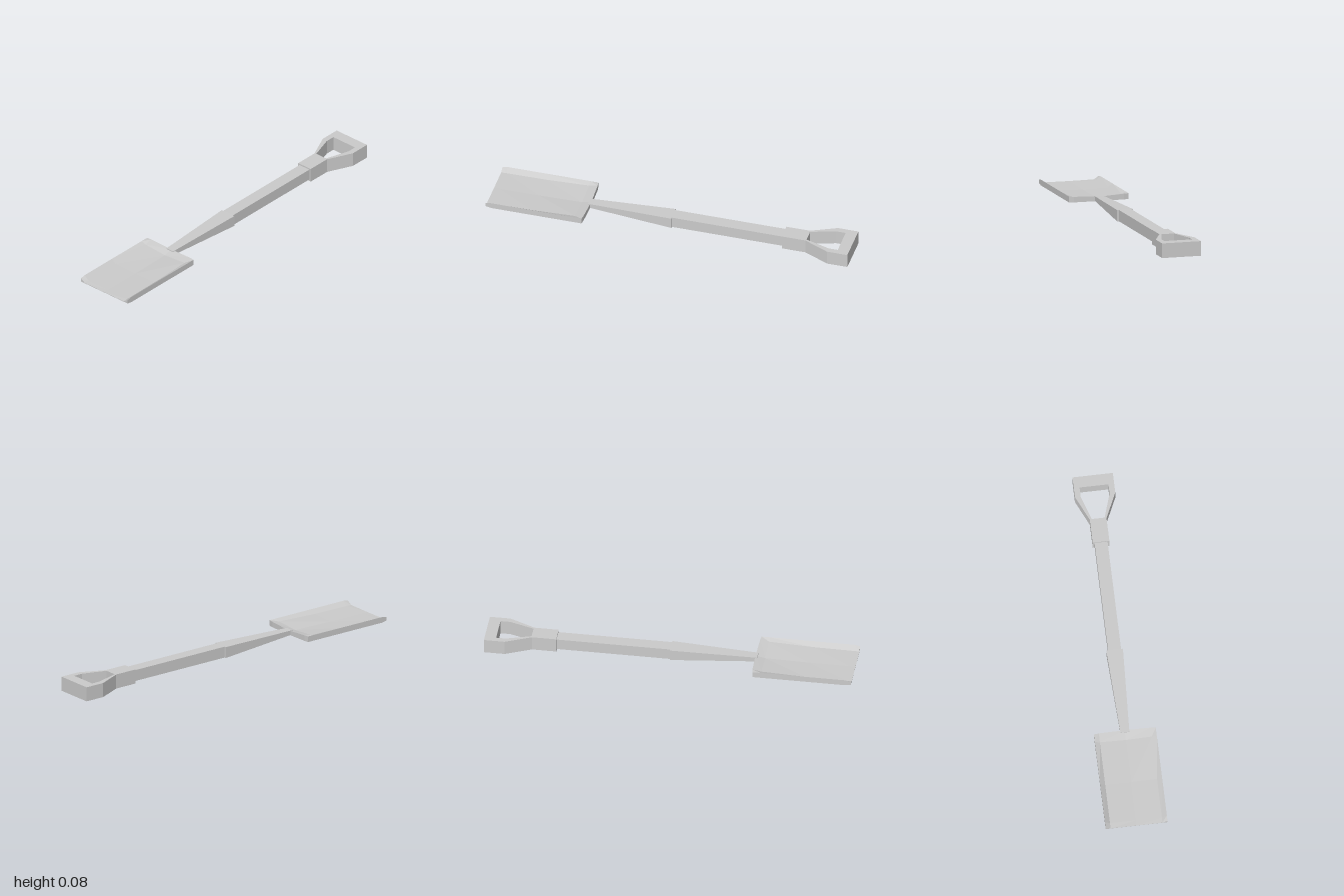
import * as THREE from 'three';

const material = new THREE.MeshStandardMaterial({ color: 0xcccccc, flatShading: true });

// Closed solid through cross-sections ordered by rising z; each runs counterclockwise seen from +z,
// along the bottom first and then back along the top.
function loft(sections) {
  const pos = [];
  const quad = (a, b, c, d) => [a, b, c, a, c, d].forEach((p) => pos.push(p.x, p.y, p.z));
  const n = sections[0].length;
  for (let i = 0; i < sections.length - 1; i++) {
    const a = sections[i], b = sections[i + 1];
    for (let j = 0; j < n; j++) {
      const k = (j + 1) % n;
      quad(a[j], a[k], b[k], b[j]);
    }
  }
  // End caps, as strips between bottom and top points
  const s = sections[0], e = sections[sections.length - 1];
  for (let j = 0; j < n / 2 - 1; j++) {
    quad(s[n - 1 - j], s[n - 2 - j], s[j + 1], s[j]);
    quad(e[j], e[j + 1], e[n - 2 - j], e[n - 1 - j]);
  }
  const geo = new THREE.BufferGeometry();
  geo.setAttribute('position', new THREE.Float32BufferAttribute(pos, 3));
  geo.computeVertexNormals();
  return geo;
}

const v = (x, y, z) => new THREE.Vector3(x, y, z);
const rect = (w, y0, y1, z) => [v(-w, y0, z), v(w, y0, z), v(w, y1, z), v(-w, y1, z)];

// Blade section: flat underside, raised side rims and a dished floor.
function bladeSection(z, bottom, rim, inner, middle, cornerShift = 0) {
  const W = 0.167, I = 0.14, zc = z + cornerShift, zi = z + cornerShift / 2;
  return [
    v(-W, bottom, zc), v(-I, bottom, zi), v(0, bottom, z), v(I, bottom, zi), v(W, bottom, zc),
    v(W, rim, zc), v(I, inner, zi), v(0, middle, z), v(-I, inner, zi), v(-W, rim, zc),
  ];
}

export function createModel() {
  const group = new THREE.Group();
  const add = (name, geo) => {
    const mesh = new THREE.Mesh(geo, material);
    mesh.name = name;
    group.add(mesh);
  };

  // Blade with a sloped back lip and side rims
  add('blade', loft([
    bladeSection(0.458, 0.033, 0.065, 0.064, 0.057, 0.008),
    bladeSection(0.51, 0.033, 0.065, 0.055, 0.045),
    bladeSection(0.75, 0.033, 0.065, 0.045, 0.041),
    bladeSection(0.97, 0.033, 0.065, 0.043, 0.041),
    bladeSection(1, 0.039, 0.059, 0.042, 0.041),
  ]));

  // Tapered socket joining blade and shaft
  add('socket', loft([
    rect(0.045, 0.01, 0.072, 0),
    rect(0.024, 0.036, 0.06, 0.47),
  ]));

  // Square shaft, level with the socket above and below
  const shaft = new THREE.BoxGeometry(0.07, 0.062, 0.64);
  shaft.translate(0, 0.041, -0.32);
  add('shaft', shaft);

  // D-shaped handle, outlined in x and z
  const mirrored = (half) => [...half, ...half.map(([x, z]) => [-x, z]).reverse()]
    .map(([x, z]) => new THREE.Vector2(x, z));
  const outline = new THREE.Shape(mirrored([
    [0.109, -1], [0.109, -0.887], [0.045, -0.748], [0.045, -0.617],
  ]));
  outline.holes.push(new THREE.Path(mirrored([
    [0.035, -0.752], [0.078, -0.885], [0.078, -0.938],
  ])));
  const handle = new THREE.ExtrudeGeometry(outline, { depth: 0.08, bevelEnabled: false });
  handle.rotateX(Math.PI / 2);
  handle.translate(0, 0.08, 0);
  add('handle', handle);

  return group;
}
